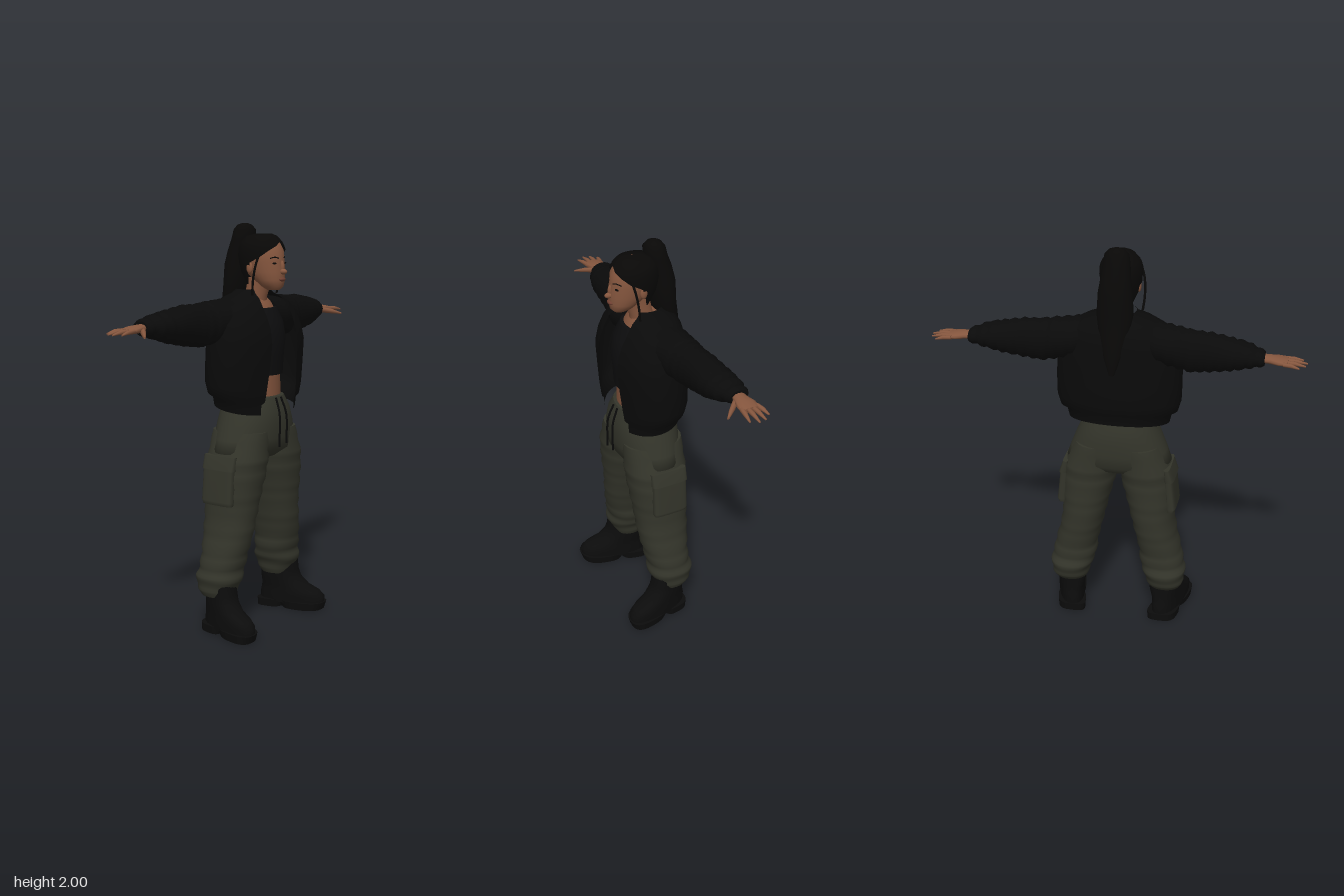
import * as THREE from 'three';
import { mergeVertices } from 'three/addons/utils/BufferGeometryUtils.js';

const mat = (name, color, double) => {
  const m = new THREE.MeshStandardMaterial({ color });
  m.name = name;
  if (double) m.side = THREE.DoubleSide;
  return m;
};

// Skin stretched over rings stacked along y. Row: [y, centreX, backZ, frontZ, halfWidth, frontOpening].
// A non-zero opening angle leaves a gap at the front; warp(v) adjusts every point.
function loft(rows, { n = 24, open = false, power = 1, warp = null } = {}) {
  const pos = [], idx = [], v = new THREE.Vector3();
  const cols = open ? n + 1 : n;
  const put = (x, y, z) => {
    v.set(x, y, z);
    if (warp) warp(v);
    pos.push(v.x, v.y, v.z);
  };
  const bend = (t) => Math.sign(t) * Math.abs(t) ** power;
  const ring = ([y, cx, zb, zf, rx, gap = 0]) => {
    for (let i = 0; i < cols; i++) {
      const a = gap + (i / n) * (Math.PI * 2 - gap * 2);
      put(cx + rx * bend(Math.sin(a)), y, (zb + zf) / 2 + ((zf - zb) / 2) * bend(Math.cos(a)));
    }
  };
  rows.forEach(ring);
  for (let r = 0; r < rows.length - 1; r++) {
    for (let i = 0; i < n; i++) {
      const j = (i + 1) % cols, a = r * cols, b = a + cols;
      idx.push(a + i, a + j, b + j, a + i, b + j, b + i);
    }
  }
  if (!open) {
    [rows[0], rows[rows.length - 1]].forEach((row, top) => {
      const s = pos.length / 3;
      ring(row);
      put(row[1], row[0], (row[2] + row[3]) / 2);
      for (let i = 0; i < n; i++) {
        const j = (i + 1) % n;
        idx.push(s + n, s + (top ? i : j), s + (top ? j : i));
      }
    });
  }
  const g = new THREE.BufferGeometry();
  g.setAttribute('position', new THREE.Float32BufferAttribute(pos, 3));
  g.setIndex(idx);
  g.computeVertexNormals();
  return g;
}

// Adds in-between rows, with soft wrinkles of the given size
function wrinkle(rows, steps, size, freq) {
  const out = [];
  for (let r = 0; r < rows.length - 1; r++) {
    for (let s = 0; s < steps; s++) {
      const row = rows[r].map((a, k) => a + (rows[r + 1][k] - a) * (s / steps));
      const w = size * Math.sin(row[0] * freq);
      out.push([row[0], row[1], row[2] - w, row[3] + w, row[4] + w]);
    }
  }
  out.push(rows[rows.length - 1]);
  return out;
}

function mirrored(geo) {
  const g = geo.clone().scale(-1, 1, 1), ix = g.index.array;
  for (let i = 0; i < ix.length; i += 3) [ix[i + 1], ix[i + 2]] = [ix[i + 2], ix[i + 1]];
  return g;
}

const tube = (pts, r, n = 10) =>
  new THREE.TubeGeometry(new THREE.CatmullRomCurve3(pts.map((p) => new THREE.Vector3(...p))), n, r, 6);
const ball = (x, y, z, sx, sy, sz) => new THREE.SphereGeometry(1, 14, 10).scale(sx, sy, sz).translate(x, y, z);

export function createModel() {
  const skin = mat('skin', 0x85563e);
  const lips = mat('lips', 0x6e3f31);
  const hair = mat('hair', 0x090807, true);
  const black = mat('jacket black', 0x0a0a0a, true);
  const topMat = mat('top black', 0x0d0d0e);
  const olive = mat('olive cloth', 0x33342a);
  const boot = mat('boot black', 0x0c0c0c);

  // Built facing +z with arms along x, then turned to face +x
  const group = new THREE.Group();
  group.name = 'figure';
  group.rotation.y = Math.PI / 2;
  const add = (name, geo, m) => {
    const mesh = new THREE.Mesh(geo, m);
    mesh.name = name;
    group.add(mesh);
  };
  const pair = (name, geo, m) => {
    const g = geo.index ? geo : mergeVertices(geo);
    add(name + 'Left', g, m);
    add(name + 'Right', mirrored(g), m);
  };

  // Boots, toes turned slightly out
  const splay = (v) => { v.x += 0.22 * (v.z + 0.03); };
  pair('boot', loft([
    [0.03, 0.255, -0.13, 0.205, 0.07], [0.07, 0.255, -0.13, 0.208, 0.072], [0.095, 0.255, -0.125, 0.18, 0.07],
    [0.12, 0.255, -0.12, 0.12, 0.07], [0.16, 0.252, -0.12, 0.075, 0.074], [0.2, 0.25, -0.12, 0.06, 0.076],
    [0.28, 0.25, -0.115, 0.05, 0.078]], { power: 0.85, warp: splay }), boot);
  pair('soleFront', loft([[0, 0.255, 0.0, 0.2, 0.072], [0.04, 0.255, -0.03, 0.212, 0.077]], { power: 0.75, warp: splay }), boot);
  pair('heel', loft([[0, 0.255, -0.132, 0.0, 0.072], [0.04, 0.255, -0.134, 0.01, 0.075]], { power: 0.6, warp: splay }), boot);

  // Trousers: baggy legs gathered at the ankle, hips, pockets, drawstrings
  pair('trouserLeg', loft(wrinkle([
    [0.19, 0.25, -0.12, 0.03, 0.08], [0.22, 0.25, -0.15, 0.05, 0.1], [0.26, 0.247, -0.155, 0.065, 0.1],
    [0.29, 0.242, -0.16, 0.07, 0.112], [0.33, 0.23, -0.145, 0.07, 0.112], [0.4, 0.22, -0.145, 0.085, 0.107],
    [0.5, 0.195, -0.155, 0.103, 0.106], [0.6, 0.176, -0.16, 0.112, 0.11], [0.7, 0.164, -0.16, 0.125, 0.122],
    [0.8, 0.148, -0.16, 0.138, 0.134], [0.87, 0.138, -0.163, 0.142, 0.134], [1.0, 0.105, -0.16, 0.14, 0.112]],
    3, 0.004, 75), { n: 28, power: 0.9 }), olive);
  add('hips', loft([
    [0.86, 0, -0.13, 0.09, 0.2], [0.9, 0, -0.162, 0.138, 0.264], [0.96, 0, -0.168, 0.148, 0.243],
    [1.03, 0, -0.168, 0.152, 0.215], [1.1, 0, -0.16, 0.148, 0.185], [1.19, 0, -0.125, 0.125, 0.145]],
    { n: 32, power: 0.9, warp: (v) => { v.y -= 0.1 * Math.max(0, v.y - 1.1) * (v.z > 0 ? 3 : 0); } }), olive);
  pair('cargoPocket', loft([
    [0.65, 0.278, -0.11, 0.06, 0.02], [0.67, 0.28, -0.115, 0.065, 0.026], [0.82, 0.267, -0.115, 0.065, 0.022],
    [0.825, 0.268, -0.12, 0.07, 0.026], [0.89, 0.255, -0.12, 0.07, 0.016]], { power: 0.5 }), olive);
  add('drawstringRight', tube([[-0.02, 1.16, 0.135], [-0.028, 1.08, 0.163], [-0.033, 0.92, 0.165]], 0.005), black);
  add('drawstringLeft', tube([[0.02, 1.16, 0.135], [0.027, 1.08, 0.163], [0.028, 0.93, 0.165]], 0.005), black);

  // Torso, neck and cropped top
  add('torso', loft([
    [1.12, 0, -0.11, 0.11, 0.14], [1.2, 0, -0.1, 0.112, 0.13], [1.3, 0, -0.1, 0.112, 0.125], [1.45, 0, -0.12, 0.115, 0.14],
    [1.56, 0, -0.12, 0.09, 0.13], [1.62, 0, -0.1, 0.06, 0.1], [1.65, 0, -0.08, 0.04, 0.06]]), skin);
  add('neck', loft([[1.58, 0, -0.09, 0.05, 0.065], [1.65, 0, -0.06, 0.055, 0.05], [1.74, 0, -0.04, 0.09, 0.05]]), skin);
  add('croppedTop', loft([
    [1.27, 0, -0.11, 0.125, 0.138], [1.36, 0, -0.12, 0.132, 0.142], [1.45, 0, -0.13, 0.142, 0.15],
    [1.53, 0, -0.13, 0.125, 0.145], [1.595, 0, -0.12, 0.09, 0.125]]), topMat);

  // Open bomber jacket with gathered hem and collar; the hem dips toward the front
  const dip = (v) => { v.y -= 0.18 * v.z * THREE.MathUtils.clamp((1.4 - v.y) / 0.25, 0, 1); };
  add('jacketBody', loft([
    [1.11, 0, -0.165, 0.15, 0.25, 0.55], [1.16, 0, -0.168, 0.152, 0.262, 0.52], [1.175, 0, -0.185, 0.16, 0.29, 0.42],
    [1.23, 0, -0.192, 0.166, 0.306, 0.38], [1.33, 0, -0.192, 0.175, 0.308, 0.34], [1.43, 0, -0.19, 0.184, 0.305, 0.33],
    [1.5, 0, -0.188, 0.172, 0.292, 0.33], [1.56, 0, -0.182, 0.15, 0.27, 0.36], [1.61, 0, -0.172, 0.125, 0.235, 0.42],
    [1.645, 0, -0.15, 0.1, 0.17, 0.52], [1.665, 0, -0.12, 0.075, 0.105, 0.75], [1.685, 0, -0.1, 0.06, 0.085, 0.85]],
    { n: 40, open: true, power: 0.93, warp: dip }), black);

  // Sleeves run outward: the loft axis y becomes x
  const outward = (v) => { v.set(v.y, -v.x, v.z); };
  pair('sleeve', loft(wrinkle([
    [0.1, -1.56, -0.13, 0.05, 0.08], [0.2, -1.548, -0.16, 0.06, 0.095], [0.3, -1.535, -0.165, 0.03, 0.1],
    [0.36, -1.527, -0.165, 0.01, 0.102], [0.45, -1.533, -0.172, -0.002, 0.094], [0.55, -1.535, -0.183, -0.01, 0.077],
    [0.62, -1.54, -0.185, -0.025, 0.06], [0.67, -1.54, -0.18, -0.055, 0.044], [0.705, -1.54, -0.172, -0.08, 0.03]],
    4, 0.005, 130), { warp: outward }), black);

  // Hands with spread fingers
  pair('palm', loft([
    [0.68, -1.54, -0.15, -0.095, 0.02], [0.73, -1.538, -0.158, -0.085, 0.019], [0.77, -1.535, -0.172, -0.075, 0.018],
    [0.81, -1.532, -0.172, -0.075, 0.012]], { n: 12, warp: outward }), skin);
  [[-0.162, -0.178, 0.865], [-0.137, -0.146, 0.893], [-0.112, -0.112, 0.9], [-0.087, -0.075, 0.88]].forEach(([z0, z1, tip], i) =>
    pair('finger' + (i + 1), loft([
      [0.79, -1.533, z0 - 0.012, z0 + 0.012, 0.011], [(0.79 + tip) / 2, -1.532, (z0 + z1) / 2 - 0.011, (z0 + z1) / 2 + 0.011, 0.01],
      [tip, -1.524, z1 - 0.005, z1 + 0.005, 0.004]], { n: 8, warp: outward }), skin));
  pair('thumb', loft([
    [0.72, -1.53, -0.115, -0.08, 0.015], [0.76, -1.522, -0.075, -0.042, 0.013], [0.797, -1.51, -0.026, -0.012, 0.005]],
    { n: 8, warp: outward }), skin);

  // Head and face
  add('head', loft([
    [1.683, 0, 0.07, 0.135, 0.025], [1.7, 0, 0.04, 0.153, 0.048], [1.73, 0, 0, 0.158, 0.068], [1.77, 0, -0.05, 0.158, 0.08],
    [1.82, 0, -0.07, 0.153, 0.089], [1.87, 0, -0.075, 0.147, 0.091], [1.91, 0, -0.06, 0.125, 0.078], [1.938, 0, -0.02, 0.09, 0.045]]), skin);
  add('nose', ball(0, 1.772, 0.158, 0.015, 0.014, 0.025), skin);
  add('noseBridge', ball(0, 1.795, 0.152, 0.009, 0.03, 0.014), skin);
  add('lips', ball(0, 1.735, 0.155, 0.024, 0.01, 0.012), lips);
  pair('ear', ball(0.088, 1.79, 0.025, 0.01, 0.028, 0.018), skin);
  pair('eye', ball(0.036, 1.812, 0.14, 0.014, 0.005, 0.007).rotateY(0.03), hair);
  pair('eyebrow', tube([[0.018, 1.835, 0.148], [0.038, 1.841, 0.14], [0.058, 1.835, 0.123]], 0.003), hair);

  // Hair: cap swept back from the hairline, high ponytail, loose strands
  add('hairCap', loft([
    [1.71, 0, -0.04, 0.11, 0.07, 2.1], [1.77, 0, -0.075, 0.162, 0.09, 1.8], [1.815, 0, -0.085, 0.162, 0.1, 1.6],
    [1.845, 0, -0.09, 0.16, 0.103, 1.1], [1.875, 0, -0.088, 0.156, 0.102, 0.7], [1.895, 0, -0.082, 0.147, 0.097, 0.3],
    [1.912, 0, -0.075, 0.138, 0.089, 0], [1.94, 0, -0.05, 0.115, 0.062, 0], [1.951, 0, 0, 0.09, 0.025, 0], [1.952, 0, 0.04, 0.05, 0.002, 0]],
    { n: 32, open: true }), hair);
  add('ponytail', loft([
    [1.42, 0, -0.205, -0.19, 0.012], [1.5, 0, -0.203, -0.16, 0.04], [1.6, 0, -0.19, -0.1, 0.07], [1.7, 0, -0.175, -0.05, 0.088],
    [1.8, 0, -0.172, -0.04, 0.082], [1.87, 0, -0.155, -0.03, 0.07], [1.92, 0, -0.135, -0.02, 0.066], [1.97, 0, -0.122, -0.018, 0.058],
    [1.992, 0, -0.105, -0.035, 0.038], [2.0, 0, -0.085, -0.055, 0.015]], { n: 20 }), hair);
  pair('strand', tube([[0.085, 1.875, 0.09], [0.104, 1.81, 0.075], [0.108, 1.73, 0.06], [0.1, 1.66, 0.05]], 0.006), hair);
  return group;
}
